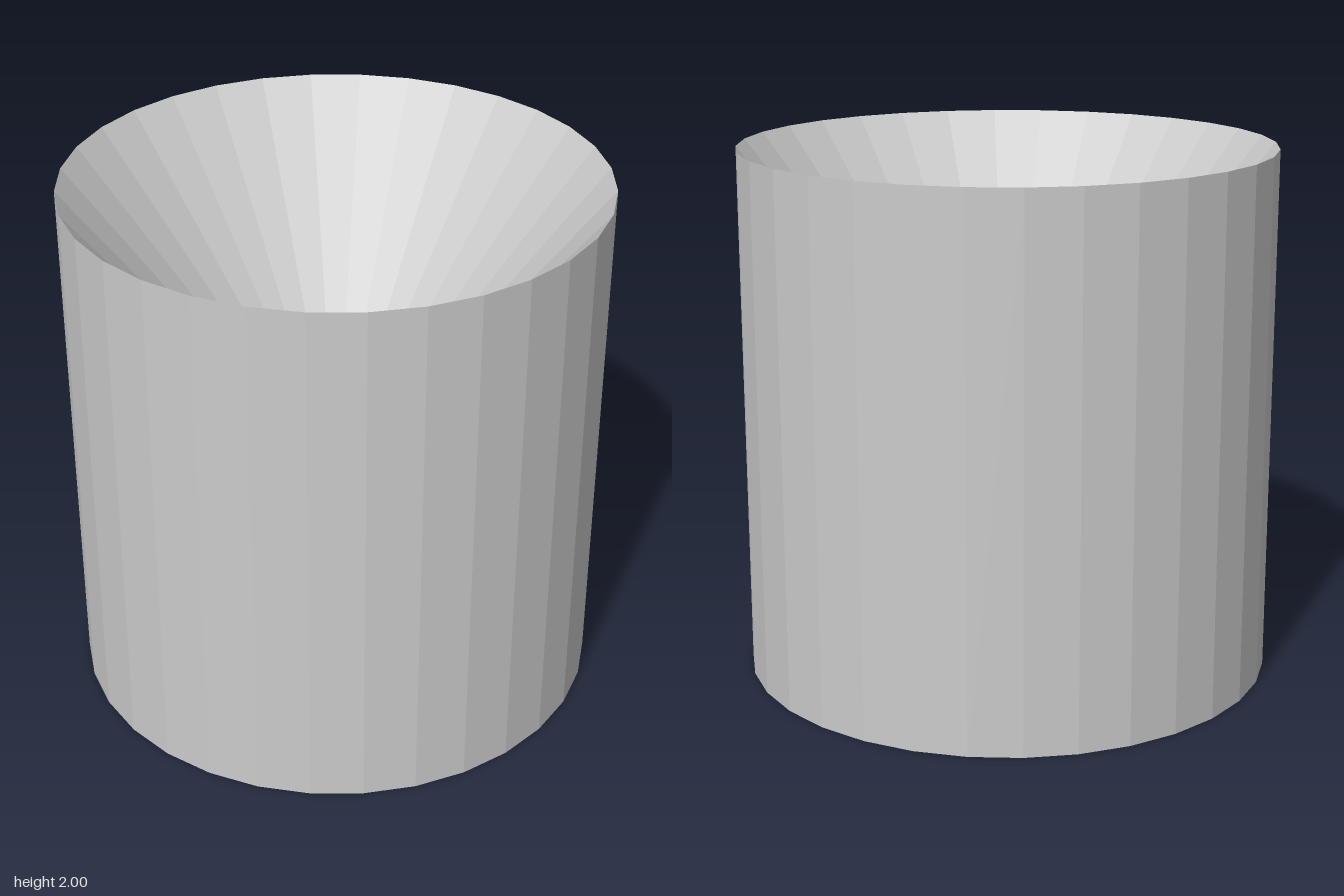
import * as THREE from 'three';

const SIDES = 32;
const RADIUS = 1;
const HEIGHT = 2;
const FLOOR_RADIUS = 0.215;
const FLOOR_HEIGHT = 1;

export function createModel() {
  const group = new THREE.Group();
  group.name = 'funnelCylinder';
  const material = new THREE.MeshStandardMaterial({
    color: 0xcccccc, flatShading: true, side: THREE.DoubleSide,
  });

  const add = (name, geometry, y) => {
    const mesh = new THREE.Mesh(geometry, material);
    mesh.name = name;
    mesh.position.y = y;
    group.add(mesh);
    return mesh;
  };

  // Faceted outer wall
  add('outerWall', new THREE.CylinderGeometry(RADIUS, RADIUS, HEIGHT, SIDES, 1, true), HEIGHT / 2);

  // Closed underside
  add('base', new THREE.CircleGeometry(RADIUS, SIDES), 0).rotation.x = Math.PI / 2;

  // Conical hollow running from the sharp rim down to a small flat floor
  const hollow = new THREE.CylinderGeometry(
    RADIUS, FLOOR_RADIUS, HEIGHT - FLOOR_HEIGHT, SIDES, 1, true);
  hollow.scale(-1, 1, 1); // turns the faces inward
  add('funnelWall', hollow, (HEIGHT + FLOOR_HEIGHT) / 2);
  add('funnelFloor', new THREE.CircleGeometry(FLOOR_RADIUS, SIDES), FLOOR_HEIGHT).rotation.x = -Math.PI / 2;

  return group;
}
